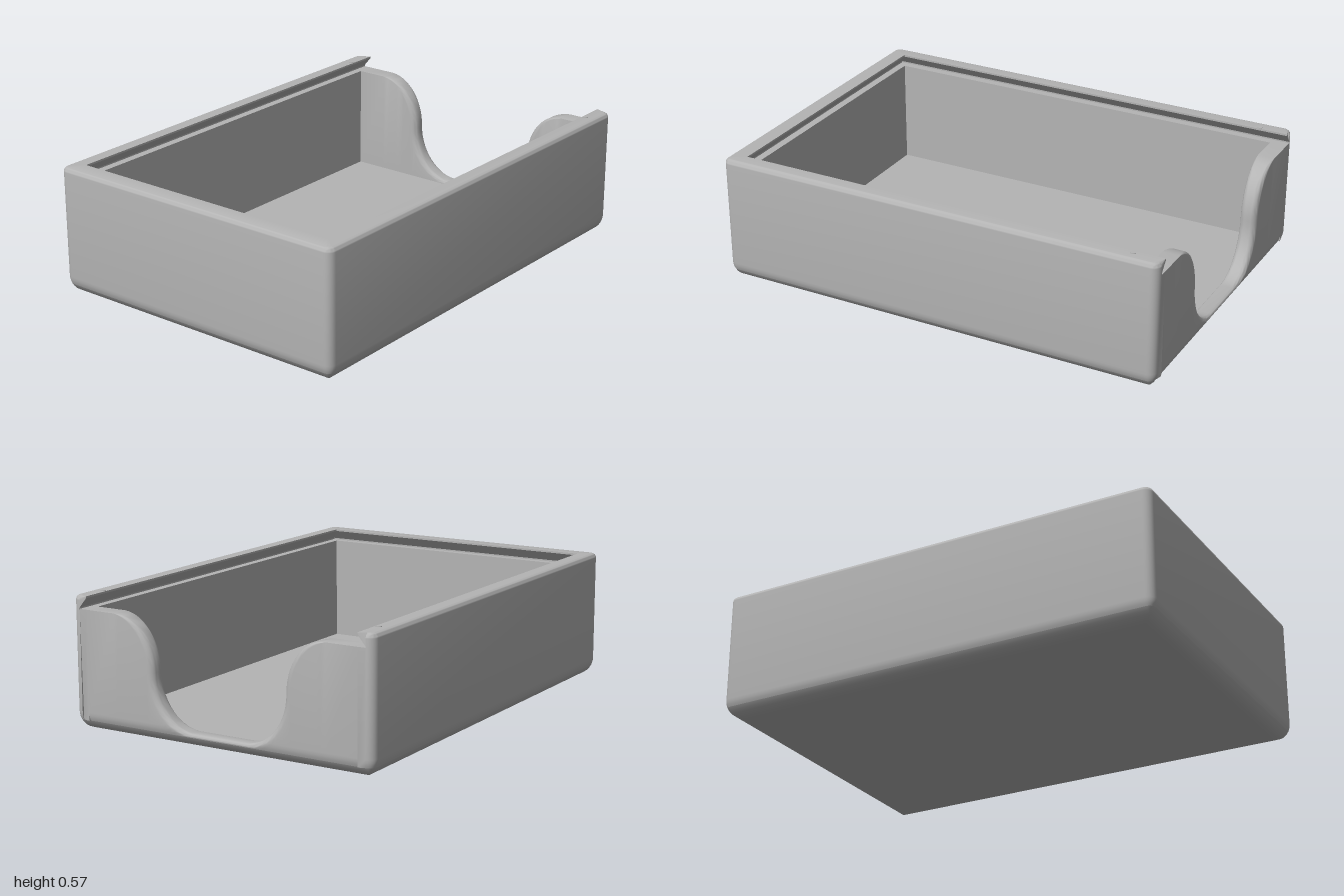
import * as THREE from 'three';
import { toCreasedNormals } from 'three/addons/utils/BufferGeometryUtils.js';

const FLOOR = 0.045, LEDGE = 0.51, TOP = 0.565; // main heights
const FILLET = 0.08, CORNER = 0.035, RIM = 0.02; // outer roundings
const IN_X = 0.64, IN_BACK = 0.925, IN_FRONT = 0.92;

// Geometry from a list of vertex triples, dropping collapsed triangles
function fromTriangles(tris) {
  const pos = [];
  const t = new THREE.Triangle();
  for (const [a, b, c] of tris) {
    t.set(a, b, c);
    if (t.getArea() > 1e-9) for (const v of [a, b, c]) pos.push(v.x, v.y, v.z);
  }
  const g = new THREE.BufferGeometry();
  g.setAttribute('position', new THREE.Float32BufferAttribute(pos, 3));
  return toCreasedNormals(g, 0.6);
}

// Triangles of a skin over equally long rows of points
function skin(rows) {
  const tris = [];
  for (let i = 0; i < rows.length - 1; i++) {
    for (let j = 0; j < rows[i].length - 1; j++) {
      const a = rows[i][j], b = rows[i + 1][j], c = rows[i][j + 1], d = rows[i + 1][j + 1];
      tris.push([a, b, c], [c, b, d]);
    }
  }
  return tris;
}

// Rounded outline running from the back of +x, round the front, to the back of -x
function outline(x, front, back, r, y) {
  const half = [], n = 6;
  for (let k = 0; k <= n; k++) {
    const a = (k / n) * Math.PI / 2;
    half.push([x - r + r * Math.sin(a), -(back - r) - r * Math.cos(a)]);
  }
  for (let k = 0; k <= n; k++) {
    const a = (k / n) * Math.PI / 2;
    half.push([x - r + r * Math.cos(a), front - r + r * Math.sin(a)]);
  }
  const right = half.map(([px, pz]) => new THREE.Vector3(px, y, pz));
  const left = half.map(([px, pz]) => new THREE.Vector3(-px, y, pz)).reverse();
  return [...right, ...left];
}

// Inset of the outer face caused by the bottom fillet
const inset = (y) => y >= FILLET ? 0 : FILLET - Math.sqrt(FILLET ** 2 - (FILLET - y) ** 2);
const outer = (d, y) => outline(0.71 - d, 1 - d, 1 - d, Math.max(CORNER - d, 0), y);

// Solid floor with its rounded lower edge
function floorGeometry() {
  const rings = [];
  for (let k = 0; k <= 6; k++) {
    const y = FLOOR * (k / 6) ** 2;
    const ring = outer(inset(y), y);
    rings.push([...ring, ring[0]]);
  }
  const centre = (y) => rings[0].map(() => new THREE.Vector3(0, y, 0));
  return fromTriangles(skin([centre(0), ...rings, centre(FLOOR)]));
}

// Side and front walls with an undercut lid groove, open at the back
function wallGeometry() {
  const rows = [];
  for (const y of [FLOOR, 0.055, 0.067, FILLET]) rows.push(outer(inset(y), y));
  for (let k = 0; k <= 6; k++) {
    const a = (k / 6) * Math.PI / 2;
    rows.push(outer(RIM * (1 - Math.cos(a)), TOP - RIM + RIM * Math.sin(a)));
  }
  const inner = (d, y) => rows.push(outline(IN_X + d, IN_FRONT + d, 1, 0, y));
  inner(0, TOP);
  inner(0, TOP - 0.008);
  inner(0.034, LEDGE + 0.006);
  inner(0.034, LEDGE);
  inner(0, LEDGE);
  inner(0, FLOOR);

  // flat ends of the two side walls
  const tris = skin(rows);
  const last = rows[0].length - 1;
  for (const end of [0, last]) {
    const pts = rows.map((r) => r[end]);
    const contour = pts.map((p) => new THREE.Vector2(p.x, p.y));
    for (const f of THREE.ShapeUtils.triangulateShape(contour, [])) {
      const [a, b, c] = f.map((i) => pts[i]);
      const nz = (b.x - a.x) * (c.y - a.y) - (b.y - a.y) * (c.x - a.x);
      tris.push(nz < 0 ? [a, b, c] : [a, c, b]);
    }
  }
  return fromTriangles(tris);
}

// Back wall with a wide S-sided thumb cutout and a rounded rim
function backGeometry() {
  const low = 0.06, rx = 0.19, ry = (LEDGE - low) / 2, mid = low + ry, n = 14;
  const half = []; // x, y, rim normal, rim radius
  for (let k = 0; k <= n; k++) {
    const a = (k / n) * Math.PI / 2, s = Math.sin(a), c = Math.cos(a);
    half.push({ x: 0.12 + rx * s, y: mid - ry * c, nx: -s, ny: c, r: 0.012 + 0.018 * s });
  }
  for (let k = 1; k <= n; k++) {
    const a = (k / n) * Math.PI / 2, s = Math.sin(a), c = Math.cos(a);
    half.push({ x: 0.5 - rx * c, y: mid + ry * s, nx: -c, ny: s, r: 0.03 * (1 - (k / n) ** 2) });
  }
  half.push({ x: IN_X, y: LEDGE, nx: 0, ny: 1, r: 0 });
  const mirrored = half.map((p) => ({ ...p, x: -p.x, nx: -p.nx })).reverse();

  const sections = [...mirrored, ...half].map(({ x, y, nx, ny, r }) => {
    const s = [];
    const bx = x - nx * r, by = y - ny * r;
    for (const h of [FLOOR, 0.055, 0.067, FILLET, by]) {
      const yy = Math.min(h, by);
      s.push(new THREE.Vector3(bx, yy, -1 + inset(yy)));
    }
    const zOut = -1 + inset(by);
    for (const side of [0, 1]) {
      for (let k = 0; k <= 6; k++) {
        const a = ((side ? 6 - k : k) / 6) * Math.PI / 2;
        const up = r * Math.sin(a), z = r * (1 - Math.cos(a));
        s.push(new THREE.Vector3(bx + nx * up, by + ny * up, side ? -IN_BACK - z : zOut + z));
      }
    }
    s.push(new THREE.Vector3(bx, Math.min(FLOOR, by), -IN_BACK));
    return s;
  });
  const rows = sections[0].map((_, i) => sections.map((s) => s[i]));
  return fromTriangles(skin(rows));
}

export function createModel() {
  const model = new THREE.Group();
  model.name = 'slidingLidBox';
  const grey = new THREE.MeshStandardMaterial({ color: 0xb4b4b4 });
  grey.name = 'grey';

  const add = (name, geometry) => {
    const mesh = new THREE.Mesh(geometry, grey);
    mesh.name = name;
    model.add(mesh);
    return mesh;
  };
  add('floor', floorGeometry());
  add('groovedWalls', wallGeometry());
  add('backWallWithCutout', backGeometry());

  // small lid catches near the open end of the grooves
  for (const [name, side] of [['leftCatch', 1], ['rightCatch', -1]]) {
    add(name, new THREE.CylinderGeometry(0.012, 0.012, 0.004, 16)).position.set(side * 0.655, TOP, -0.87);
  }
  return model;
}
